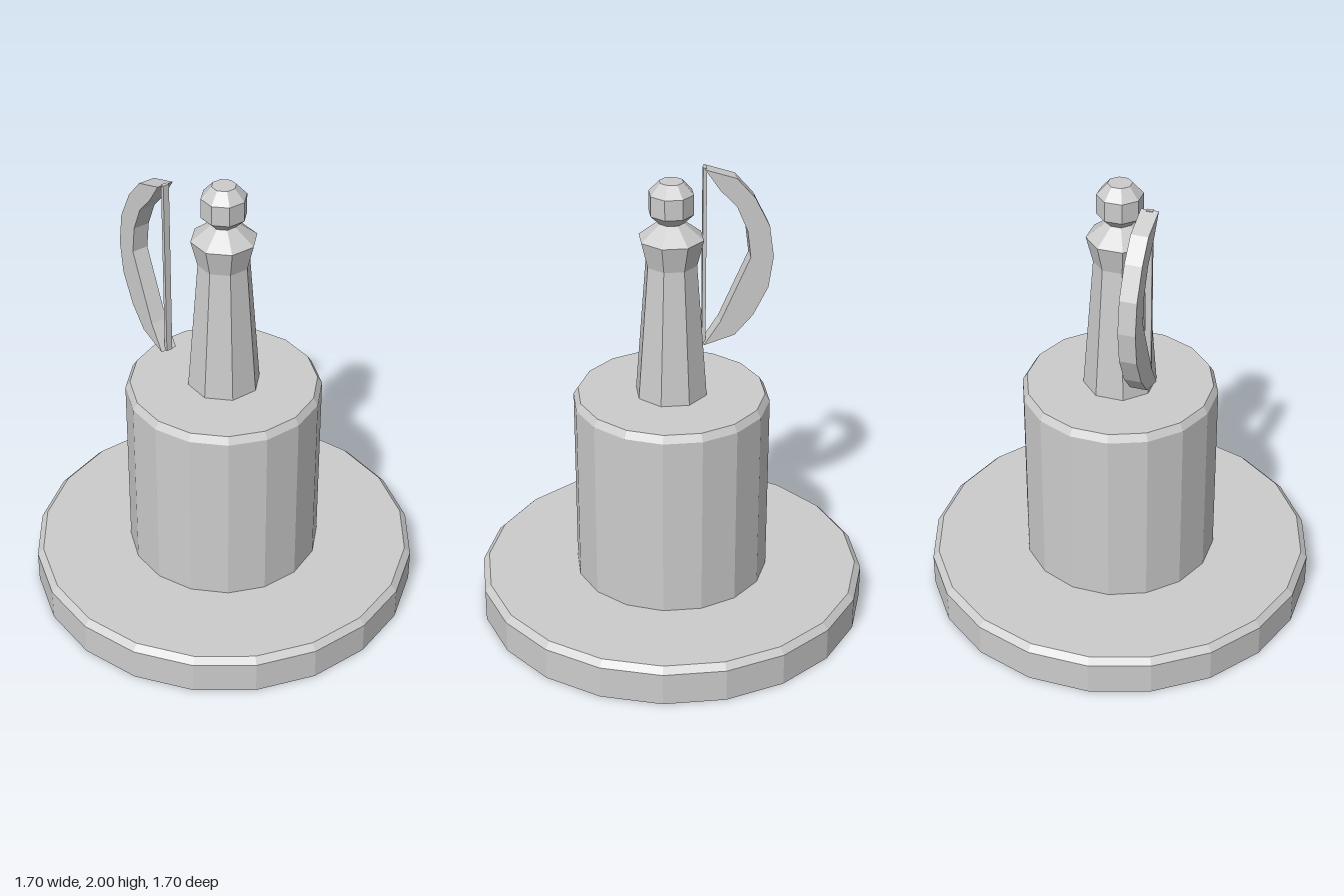
import * as THREE from 'three';

const stone = new THREE.MeshStandardMaterial({ color: 0xcccccc });
stone.name = 'paleGrey';

// Split faces so every facet has its own flat normal
function addPart(group, name, geometry) {
  const flat = geometry.index ? geometry.toNonIndexed() : geometry;
  flat.computeVertexNormals();
  const mesh = new THREE.Mesh(flat, stone);
  mesh.name = name;
  group.add(mesh);
  return mesh;
}

// Faceted turned solid; profile is [half width across flats, y], flats facing the axes
function turned(sides, profile) {
  const k = 1 / Math.cos(Math.PI / sides);
  const points = profile.map(([w, y]) => new THREE.Vector2(w * k, y));
  return new THREE.LatheGeometry(points, sides, Math.PI / sides);
}

export function createModel() {
  const model = new THREE.Group();
  model.name = 'chessPieceArcher';

  // Bevelled base disc and pedestal drum
  addPart(model, 'baseDisc', turned(20, [[0, 0], [0.85, 0], [0.85, 0.147], [0.823, 0.175], [0, 0.175]]));
  addPart(model, 'pedestal', turned(16, [[0, 0.175], [0.42, 0.175], [0.42, 1.003], [0.4, 1.035], [0, 1.035]]));

  // Octagonal figure: tapering body, flared shoulders, head
  addPart(model, 'body', turned(8, [[0, 1.035], [0.147, 1.035], [0.104, 1.637], [0.131, 1.753], [0.05, 1.822], [0, 1.822]]));
  addPart(model, 'head', turned(8, [[0, 1.822], [0.052, 1.822], [0.09, 1.862], [0.09, 1.95], [0.048, 2], [0, 2]]));

  // Crescent bow, mirrored about its middle height
  const bow = new THREE.Group();
  bow.name = 'bow';
  bow.position.set(0, 1.583, 0.177);
  const outer = [[-0.295, 0.363], [-0.375, 0.272], [-0.44, 0.142]];
  const inner = [[-0.225, 0.312], [-0.297, 0.235], [-0.345, 0.122]];
  const flip = (pts) => pts.map(([x, y]) => [x, -y]).reverse();
  const outline = [
    [-0.16, 0.407], ...outer, [-0.46, 0], ...flip(outer),
    [-0.16, -0.407], ...flip(inner).map(([x, y]) => [x, y]), [-0.36, 0], ...inner.slice().reverse(),
  ];
  const shape = new THREE.Shape(outline.map(([x, y]) => new THREE.Vector2(x, y)));
  const limb = new THREE.ExtrudeGeometry(shape, { depth: 0.074, bevelEnabled: false });
  limb.translate(0, 0, -0.037);
  addPart(bow, 'bowLimb', limb);

  // Thin bowstring
  addPart(bow, 'bowString', new THREE.BoxGeometry(0.016, 0.814, 0.028)).position.x = -0.162;
  model.add(bow);

  return model;
}
